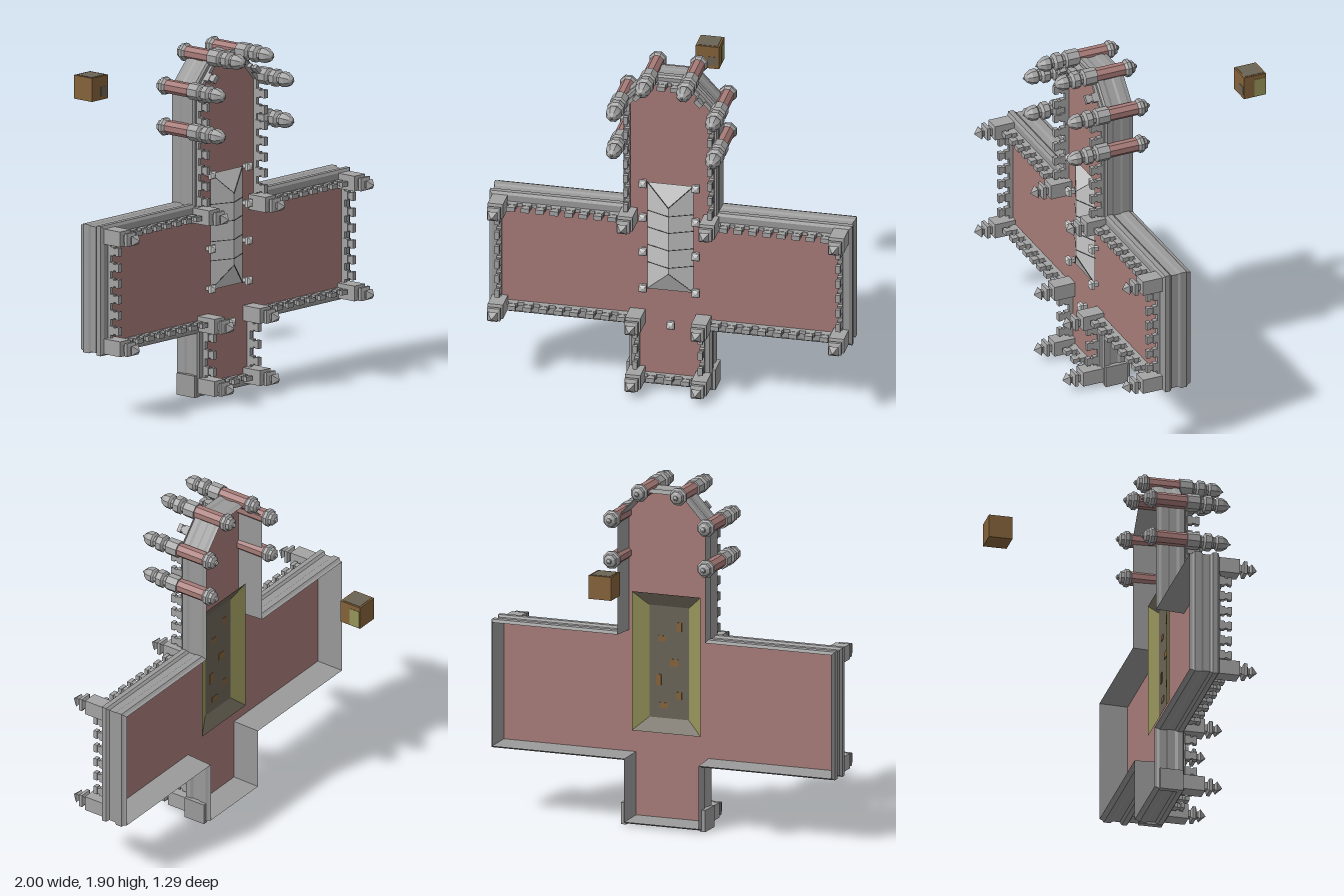
import * as THREE from 'three';

const mat = (name, color, side = THREE.FrontSide) => {
  const m = new THREE.MeshStandardMaterial({ color, side, flatShading: true });
  m.name = name;
  return m;
};

// Outline of the terrace along the battlements, counter-clockwise
const half = [[0.18, 0.065], [0.18, 0.415], [0.94, 0.415], [0.94, 1.01],
  [0.232, 1.01], [0.232, 1.69], [0.108, 1.825]];
const outline = [...half, ...half.map(([x, y]) => [-x, y]).reverse()]
  .map(([x, y]) => new THREE.Vector2(x, y));
// Relative cornice width of each edge
const sideWidths = [0.8, 1, 1, 1, 0.5, 0.6];
const widths = [...sideWidths, 0.7, ...[...sideWidths].reverse(), 1];

// Outline pushed outward by d times each edge's width, with mitred corners
function offset(d) {
  const n = outline.length;
  const normal = i => {
    const e = outline[(i + 1) % n].clone().sub(outline[i]).normalize();
    return [e.y, -e.x];
  };
  return outline.map((p, i) => {
    const j = (i + n - 1) % n;
    const [ax, ay] = normal(j), [bx, by] = normal(i);
    const wa = d * widths[j], wb = d * widths[i], det = ax * by - ay * bx;
    return new THREE.Vector2(p.x + (wa * by - wb * ay) / det, p.y + (wb * ax - wa * bx) / det);
  });
}

// Flat-sided surface from triangles and quads
function surface(faces) {
  const pos = faces.flatMap(([a, b, c, d]) => (d ? [a, b, d, b, c, d] : [a, b, c]).flat());
  const g = new THREE.BufferGeometry();
  g.setAttribute('position', new THREE.Float32BufferAttribute(pos, 3));
  g.computeVertexNormals();
  return g;
}

// Moulding profile [distance outward, z] swept round the outline
function sweep(profile) {
  const rings = profile.map(([d, z]) => offset(d).map(p => [p.x, p.y, z]));
  const n = outline.length, faces = [];
  for (let j = 0; j < rings.length - 1; j++) {
    for (let i = 0; i < n; i++) {
      const k = (i + 1) % n;
      faces.push([rings[j][i], rings[j + 1][i], rings[j + 1][k], rings[j][k]]);
    }
  }
  return surface(faces);
}

// Turned shape standing along z; points are [radius, z]
function turned(points, sides) {
  const k = 1 / Math.cos(Math.PI / sides);
  return new THREE.LatheGeometry(points.map(([r, z]) => new THREE.Vector2(r * k, z)),
    sides, Math.PI / sides).rotateX(Math.PI / 2);
}

// Corners of an upright rectangle centred on x = 0
const rect = (w, y0, y1, z) => [[-w, y0, z], [w, y0, z], [w, y1, z], [-w, y1, z]];

export function createModel() {
  const model = new THREE.Group();
  model.name = 'castleTerrace';
  const stone = mat('stone', 0xa4a4a4);
  const cornice = mat('corniceStone', 0x9a9a9a, THREE.DoubleSide);
  const red = mat('redFloor', 0xa67b78, THREE.DoubleSide);
  const slate = mat('roofSlate', 0xc6c6c6, THREE.DoubleSide);
  const seam = mat('darkSeam', 0x4c4c4c);
  const olive = mat('olive', 0x96945a, THREE.DoubleSide);
  const brown = mat('brown', 0x84623a);
  const grime = mat('greyBrown', 0x6a6356, THREE.DoubleSide);

  const add = (name, geo, material, x = 0, y = 0, z = 0, parent = model) => {
    const m = new THREE.Mesh(geo, material);
    m.name = name;
    m.position.set(x, y, z);
    parent.add(m);
    return m;
  };
  const box = (name, w, h, d, material, x, y, z, parent) =>
    add(name, new THREE.BoxGeometry(w, h, d), material, x, y, z, parent);

  // Floor, surrounding cornice shell and its plain inner wall
  add('floor', new THREE.ShapeGeometry(new THREE.Shape(offset(0.04))), red, 0, 0, 0.39);
  add('cornice', sweep([[0, 0.4], [0.045, 0.4], [0.06, 0.39], [0.06, 0.362], [0.049, 0.348],
    [0.049, 0.31], [0.057, 0.298], [0.057, 0.262], [0.048, 0.25], [0.045, 0.235], [0.038, 0.39]]), cornice);

  // Battlements along every edge
  const merlonBase = new THREE.BoxGeometry(0.05, 0.026, 0.03);
  const merlonNeck = new THREE.BoxGeometry(0.034, 0.022, 0.02);
  const merlonCap = new THREE.BoxGeometry(0.046, 0.026, 0.022);
  outline.forEach((p, i) => {
    const q = outline[(i + 1) % outline.length];
    const len = p.distanceTo(q);
    const edge = new THREE.Group();
    edge.name = 'battlement';
    edge.position.set((p.x + q.x) / 2, (p.y + q.y) / 2, 0);
    edge.rotation.z = Math.atan2(q.y - p.y, q.x - p.x);
    model.add(edge);
    box('parapet', len, 0.02, 0.022, stone, 0, 0, 0.404, edge);
    const count = Math.max(1, Math.round((len - 0.09) / 0.08));
    for (let k = 0; k < count; k++) {
      const x = ((k + 0.5) / count - 0.5) * (len - 0.07);
      add('merlonBase', merlonBase, stone, x, 0, 0.425, edge);
      add('merlonNeck', merlonNeck, stone, x, 0, 0.448, edge);
      add('merlonCap', merlonCap, stone, x, 0, 0.467, edge);
    }
  });

  // Square corner pinnacles
  const pinnacle = turned([[0, 0.393], [0.042, 0.393], [0.042, 0.515], [0.02, 0.52], [0.02, 0.532],
    [0.036, 0.54], [0.036, 0.558], [0.016, 0.566], [0.016, 0.574], [0.027, 0.585], [0, 0.62]], 4);
  for (const s of [-1, 1]) {
    for (const [x, y] of [[0.94, 1.013], [0.94, 0.408], [0.226, 1.013], [0.182, 0.408], [0.182, 0.066]]) {
      add('cornerPinnacle', pinnacle, stone, s * x, y);
    }
    // Thicker moulding at the foot corners
    box('footCorner', 0.03, 0.12, 0.13, cornice, s * 0.23, 0.062, 0.325);
  }

  // Octagonal turrets round the apse
  const turretFoot = turned([[0, 0.143], [0.012, 0.152], [0.014, 0.16], [0.032, 0.17], [0.036, 0.186],
    [0.046, 0.194], [0.046, 0.212], [0.036, 0.226], [0, 0.226]], 8);
  const turretShaft = turned([[0.036, 0.222], [0.036, 0.4]], 8);
  const turretHead = turned([[0, 0.395], [0.044, 0.395], [0.044, 0.465], [0.03, 0.475], [0.03, 0.488],
    [0.045, 0.497], [0.045, 0.53], [0.03, 0.543], [0.03, 0.555], [0.04, 0.565], [0.038, 0.595],
    [0.024, 0.62], [0.009, 0.632], [0, 0.645]], 8);
  for (const s of [-1, 1]) {
    for (const [x, y] of [[0.274, 1.475], [0.274, 1.7], [0.113, 1.86]]) {
      add('turretFoot', turretFoot, stone, s * x, y);
      add('turretShaft', turretShaft, red, s * x, y);
      add('turretHead', turretHead, stone, s * x, y);
    }
  }

  // Hipped roof
  const W = 0.128, y0 = 0.58, y1 = 1.22, zE = 0.4, zR = 0.455;
  const [A, B, C, D] = rect(W, y0, y1, zE);
  const E = [0, 0.705, zR], F = [0, 1.1, zR];
  add('hippedRoof', surface([[A, B, E], [C, D, F], [B, C, F, E], [D, A, E, F]]), slate);

  // Thin dark seams between roof strips and along the hips
  const strip = (p, q) => {
    const a = new THREE.Vector3(...p), b = new THREE.Vector3(...q);
    const m = box('roofSeam', 0.004, 0.004, a.distanceTo(b), seam);
    m.position.copy(a).add(b).multiplyScalar(0.5);
    m.lookAt(b);
  };
  for (const s of [-1, 1]) {
    for (const y of [0.74, 0.845, 0.95, 1.05]) strip([s * W, y, zE], [0, y, zR]);
    strip([s * W, y0, zE], E);
    strip([s * W, y1, zE], F);
  }

  // Small pinnacles beside the roof
  const small = turned([[0, 0.393], [0.011, 0.393], [0.011, 0.415], [0.021, 0.42], [0.021, 0.437],
    [0.012, 0.446], [0, 0.45]], 4);
  for (const y of [0.592, 0.812, 1.017, 1.22]) {
    for (const s of [-1, 1]) add('roofPinnacle', small, slate, s * 0.146, y);
  }
  add('frontPinnacle', small, slate, 0.008, 0.385);

  // Splayed recess under the roof, seen from behind
  const rim = rect(0.2, 0.515, 1.285, 0.305), inner = rect(0.115, 0.59, 1.21, 0.345);
  for (let i = 0; i < 4; i++) {
    const k = (i + 1) % 4;
    add('recessSide', surface([[rim[i], rim[k], inner[k], inner[i]]]), i % 2 ? olive : grime);
  }
  add('recessBack', surface([inner]), grime);
  for (const [x, y, w, h] of [[-0.06, 1.1, 0.03, 0.05], [0.04, 1.03, 0.04, 0.03], [-0.03, 0.9, 0.05, 0.04],
    [0.06, 0.8, 0.03, 0.06], [-0.06, 0.72, 0.03, 0.04], [0.03, 0.66, 0.05, 0.03]]) {
    box('rustPatch', w, h, 0.004, brown, x, y, 0.344);
  }

  // Separate cube behind, with patches on some sides
  const cube = new THREE.Group();
  cube.name = 'looseCube';
  cube.position.set(-0.003, 1.535, -0.58);
  model.add(cube);
  box('cubeBody', 0.13, 0.13, 0.13, brown, 0, 0, 0, cube);
  box('cubeTopPatch', 0.11, 0.004, 0.11, grime, 0, 0.065, 0, cube);
  box('cubeSidePatch', 0.004, 0.1, 0.065, olive, 0.065, -0.01, -0.028, cube);
  box('cubeFrontPatch', 0.05, 0.05, 0.004, grime, 0.03, -0.02, 0.065, cube);
  return model;
}
